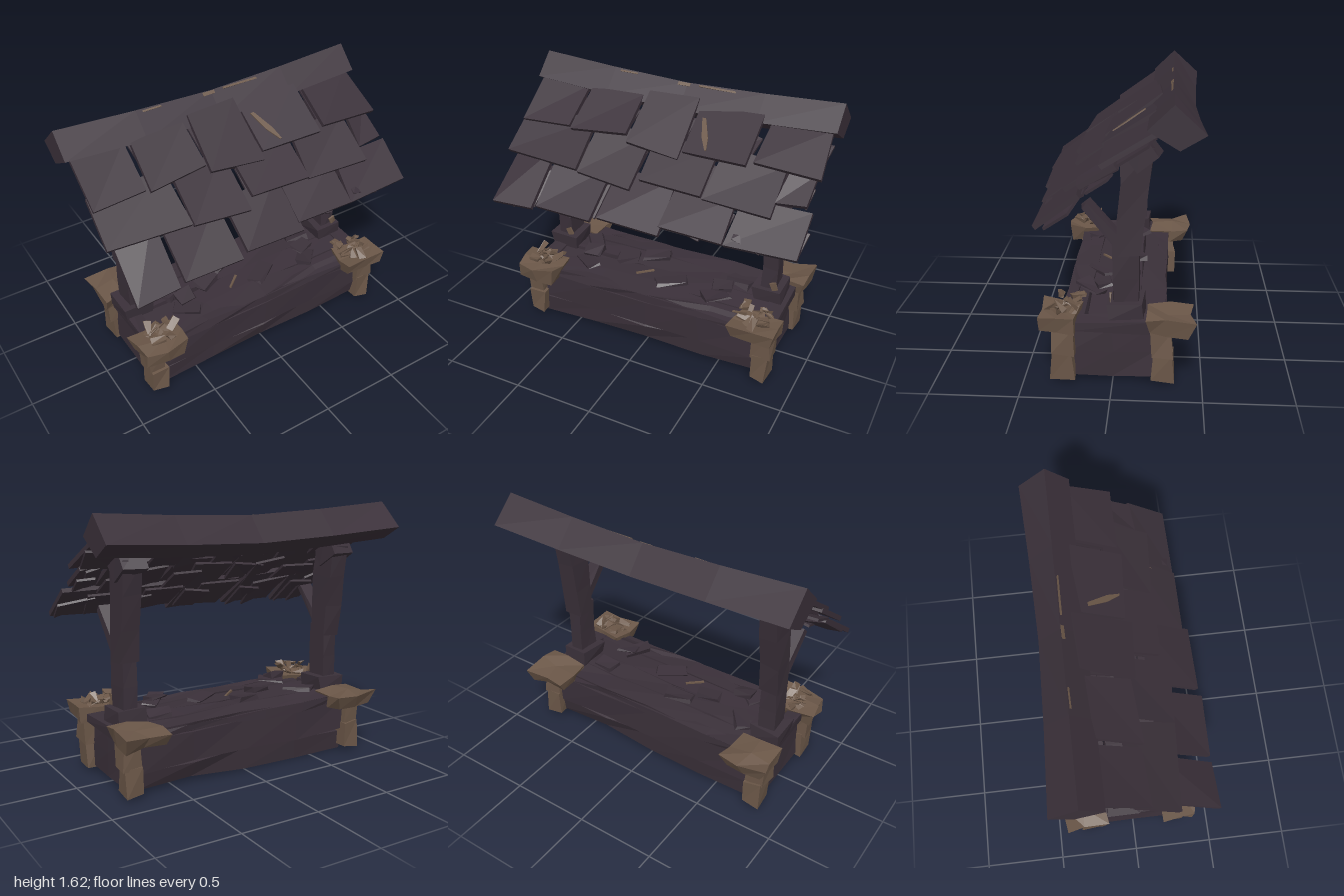
import * as THREE from 'three';

const darkWood = new THREE.MeshStandardMaterial({ color: 0x3a3039 });
const paleWood = new THREE.MeshStandardMaterial({ color: 0x6b5748 });
darkWood.name = 'darkWood';
paleWood.name = 'paleWood';
for (const m of [darkWood, paleWood]) { m.flatShading = true; m.side = THREE.DoubleSide; }

export function createModel() {
  const model = new THREE.Group();
  let seed = 11;
  const rand = () => ((seed = (seed * 16807) % 2147483647) / 2147483647);
  const spread = (a) => (rand() - 0.5) * 2 * a;
  const section = (name) => {
    const g = new THREE.Group();
    g.name = name;
    model.add(g);
    return g;
  };

  // Rough-hewn box: corners are shared, optionally bent by a rule, then jittered
  function hewn(name, mat, size, pos, { rot = [0, 0, 0], jitter = 0.012, segs = [1, 1, 1], bend } = {}, parent = model) {
    const g = new THREE.BoxGeometry(...size, ...segs);
    const p = g.attributes.position, moved = new Map(), v = new THREE.Vector3();
    for (let i = 0; i < p.count; i++) {
      v.fromBufferAttribute(p, i);
      const key = v.toArray().map((n) => n.toFixed(3)).join();
      if (!moved.has(key)) {
        if (bend) bend(v);
        moved.set(key, [v.x + spread(jitter), v.y + spread(jitter), v.z + spread(jitter)]);
      }
      p.setXYZ(i, ...moved.get(key));
    }
    g.computeVertexNormals();
    const mesh = new THREE.Mesh(g, mat);
    mesh.name = name;
    mesh.position.set(...pos);
    mesh.rotation.set(...rot);
    parent.add(mesh);
  }

  // Flat-shaded mesh from points and triangle indices
  function faceted(name, mat, pts, idx, parent) {
    const g = new THREE.BufferGeometry();
    g.setAttribute('position', new THREE.Float32BufferAttribute(pts.flat(), 3));
    g.setIndex(idx);
    const flat = g.toNonIndexed();
    flat.computeVertexNormals();
    const mesh = new THREE.Mesh(flat, mat);
    mesh.name = name;
    parent.add(mesh);
  }

  // Closed slab from four top corners (counter-clockwise seen from above)
  function slab(name, mat, c, thick, parent) {
    const pts = [...c, ...c.map(([x, y, z]) => [x, y - thick * 0.8, z - thick * 0.6])];
    const idx = [0, 1, 2, 0, 2, 3, 4, 6, 5, 4, 7, 6];
    for (let i = 0; i < 4; i++) {
      const j = (i + 1) % 4;
      idx.push(i, i + 4, j + 4, i, j + 4, j);
    }
    faceted(name, mat, pts, idx, parent);
  }

  // Base: hollow and open below, with split side planks, ends and a deck
  const base = section('base');
  for (const s of [1, -1]) {
    hewn('upperSidePlank', darkWood, [1.48, 0.19, 0.04], [0, 0.23, s * 0.275], { segs: [4, 1, 1] }, base);
    hewn('lowerSidePlank', darkWood, [1.5, 0.12, 0.04], [0, 0.08, s * 0.262],
      { rot: [s * 0.12, 0, 0.012], segs: [4, 1, 1], jitter: 0.014 }, base);
    hewn('endPlank', darkWood, [0.05, 0.29, 0.46], [s * 0.77, 0.18, 0], { segs: [1, 2, 2] }, base);
    hewn('endRim', darkWood, [0.1, 0.07, 0.42], [s * 0.78, 0.345, 0], {}, base);
    hewn('deckEdge', darkWood, [1.4, 0.05, 0.07], [0, 0.345, s * 0.26], { segs: [5, 1, 1], jitter: 0.014 }, base);
  }
  for (let i = 0; i < 4; i++) {
    hewn('deckPlank', darkWood, [1.48 - (i % 2) * 0.05, 0.05, 0.145], [spread(0.02), 0.35, -0.215 + i * 0.145],
      { rot: [spread(0.08), spread(0.015), 0], segs: [4, 1, 1], jitter: 0.012 }, base);
  }

  // Corner legs with flared caps, wider at the back
  for (const sx of [1, -1]) for (const sz of [1, -1]) {
    const corner = section('corner');
    hewn('lowerLeg', paleWood, [0.1, 0.17, 0.125], [sx * 0.785, 0.105, sz * 0.28], {}, corner);
    hewn('upperLeg', paleWood, [0.11, 0.15, 0.12], [sx * 0.795, 0.255, sz * 0.27], {}, corner);
    hewn('legCap', paleWood, [0.29, 0.09, sz > 0 ? 0.21 : 0.27], [sx * 0.75, 0.36, sz > 0 ? 0.295 : -0.31], {
      segs: [2, 1, 2], jitter: 0.02,
      bend: (v) => { if (v.y < 0) { v.x *= 0.82; v.z *= 0.8; } },
    }, corner);
  }

  // Splinter piles on the front caps and loose scraps on the deck
  for (const sx of [1, -1]) {
    for (let i = 0; i < 13; i++) {
      hewn('splinter', paleWood, [0.08, 0.014, 0.035], [sx * 0.72 + spread(0.08), 0.41 + (i / 13) * 0.055, 0.27 + spread(0.07)],
        { rot: [spread(0.7), spread(3), spread(0.6)], jitter: 0.01 });
    }
  }
  for (const [x, y, z, w] of [[-0.47, 0.46, 0.1, 0.11], [-0.48, 0.41, 0.16, 0.17], [-0.26, 0.415, 0, 0.14], [-0.1, 0.4, -0.1, 0.17],
    [0.44, 0.445, 0.08, 0.14], [0.42, 0.41, 0.15, 0.17], [0.5, 0.4, -0.08, 0.16], [-0.55, 0.39, -0.08, 0.18], [0.1, 0.385, 0.1, 0.2]]) {
    hewn('deckScrap', darkWood, [w, 0.025, 0.09], [x, y, z], { rot: [spread(0.2), spread(1), spread(0.1)] });
  }
  hewn('paleChip', paleWood, [0.12, 0.008, 0.015], [-0.1, 0.387, 0.08], { rot: [0, 0.7, 0], jitter: 0.002 });

  // Posts lean back and widen above the middle, each with a foot, brace and head
  for (const [x, s] of [[-0.75, -1], [0.71, 1]]) {
    const post = section('post');
    hewn('foot', darkWood, [0.18, 0.1, 0.2], [x, 0.42, -0.07], {}, post);
    hewn('lowerPost', darkWood, [0.095, 0.42, 0.14], [x, 0.6, -0.07], { segs: [1, 2, 1], jitter: 0.008 }, post);
    hewn('upperPost', darkWood, [0.115, 0.6, 0.14], [x, 1.04, -0.1], {
      segs: [1, 3, 1], jitter: 0.008,
      bend: (v) => { v.z = v.z * (1.1 + v.y * 0.6) - (v.y + 0.1) * 0.09; },
    }, post);
    hewn('brace', darkWood, [0.08, 0.28, 0.05], [x + s * 0.01, 0.92, 0.06], { rot: [0.72, 0, 0], jitter: 0.01 }, post);
    hewn('postHead', darkWood, [0.15, 0.16, 0.16], [x, 1.32, -0.14], { rot: [0.6, 0, 0] }, post);
    hewn('footChip', paleWood, [0.04, 0.05, 0.008], [x + 0.04, 0.49, 0.012], { rot: [0, 0, 0.4], jitter: 0.004 }, post);
  }

  // Roof: three overlapping shingle rows; each shingle is [left, right, bottom height]
  const roof = section('roof');
  const slopeZ = (y) => 0.05 + (1.28 - y) * 1.2;
  const rows = [
    { top: 1.18, lift: 0, tiles: [[-0.95, -0.665, 0.93], [-0.65, -0.26, 0.945], [-0.24, 0.16, 0.945], [0.165, 0.56, 0.975], [0.565, 0.985, 0.985]] },
    { top: 1.34, lift: 0.012, tiles: [[-0.97, -0.48, 1.12], [-0.47, -0.09, 1.1], [-0.07, 0.35, 1.12], [0.36, 0.77, 1.12], [0.78, 0.95, 1.17]] },
    { top: 1.51, lift: 0.022, tiles: [[-0.98, -0.635, 1.28], [-0.615, -0.25, 1.29], [-0.23, 0.12, 1.27], [0.13, 0.54, 1.28], [0.57, 0.97, 1.29]] },
  ];
  for (const { top, lift, tiles } of rows) {
    tiles.forEach(([l, r, low], n) => {
      const corner = (x, y, up) => {
        const yy = y + spread(0.015);
        return [x + spread(0.014), yy + up + spread(0.02), slopeZ(yy) + up * 0.5];
      };
      const c = [corner(l, low, lift), corner(r, low, lift), corner(r - 0.01, top, -0.015), corner(l + 0.01, top, -0.015)];
      slab('shingle', darkWood, c, 0.028, roof);
      // Split layers tilted under each shingle
      const m = l + (r - l) * (0.4 + rand() * 0.3);
      slab('splitBoard', darkWood, [corner(l + 0.03, low + 0.03, -0.02), corner(m, low + 0.01, -0.03),
        corner(m + 0.05, top - 0.02, -0.06), corner(l + 0.02, top - 0.02, -0.05)], 0.015, roof);
      slab('splitBoard', darkWood, [corner(m, low + 0.05, -0.03), corner(r - 0.02, low + 0.03, -0.04),
        corner(r, top - 0.05, -0.06), corner(m, top - 0.04, -0.07)], 0.015, roof);
      // Pale scar following the surface of one upper shingle
      if (top > 1.5 && n === 3) {
        const at = ([u, v]) => c[0].map((a, k) => (u > v
          ? a + u * (c[1][k] - a) + v * (c[2][k] - c[1][k])
          : a + v * (c[3][k] - a) + u * (c[2][k] - c[3][k])) + [0, 0.006, 0.004][k]);
        for (const quad of [[[0.21, 0.34], [0.31, 0.34], [0.16, 0.74], [0.1, 0.74]], [[0.33, 0.1], [0.36, 0.1], [0.31, 0.34], [0.21, 0.34]]]) {
          slab('paleScar', paleWood, quad.map(at), 0.007, roof);
        }
      }
    });
  }

  // Sagging ridge beam swept through tilted square sections
  const profile = [[1.615, -0.32, 0], [1.465, -0.485, 0.7], [1.385, -0.35, 0.3], [1.485, -0.185, 0]];
  const xs = [-1, -0.5, 0, 0.5, 0.98];
  const sagAt = (x) => 0.048 * (1 - Math.pow(Math.abs(x), 1.4));
  const pts = xs.flatMap((x) => profile.map(([y, z, pull]) => [x, y - sagAt(x), z + sagAt(x) * pull]));
  const end = (xs.length - 1) * 4;
  const idx = [0, 2, 1, 0, 3, 2, end, end + 1, end + 2, end, end + 2, end + 3];
  for (let i = 0; i < end; i += 4) for (let j = 0; j < 4; j++) {
    const a = i + j, b = i + (j + 1) % 4;
    idx.push(a, b + 4, a + 4, a, b, b + 4);
  }
  faceted('ridgeBeam', darkWood, pts, idx, roof);

  // Pale slivers just in front of the ridge line
  for (const [x, w, d] of [[-0.02, 0.08, 0.022], [0.2, 0.24, 0.012], [-0.4, 0.12, 0.01]]) {
    hewn('ridgeSliver', paleWood, [w, 0.006, d], [x, 1.606 - sagAt(x), -0.309], { rot: [0.76, 0, 0], jitter: 0.001 }, roof);
  }

  return model;
}
